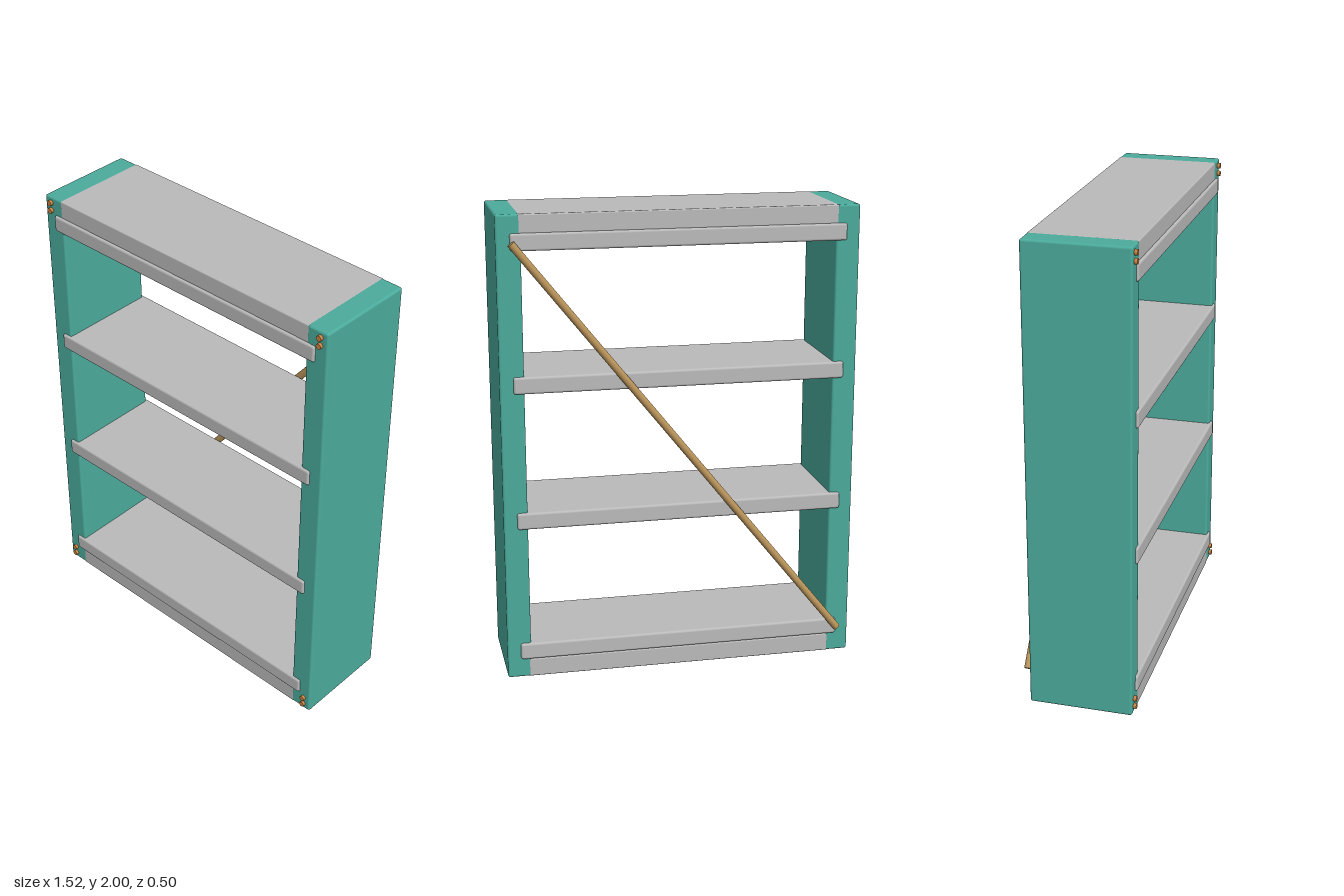
import * as THREE from 'three';
import { RoundedBoxGeometry } from 'three/addons/geometries/RoundedBoxGeometry.js';

const material = (name, color) => {
  const m = new THREE.MeshStandardMaterial({ color });
  m.name = name;
  return m;
};

export function createModel() {
  const group = new THREE.Group();
  const teal = material('teal paint', 0x4bab9c);
  const grey = material('grey board', 0xbababa);
  const wood = material('wooden dowel', 0xba945a);
  const copper = material('copper screw', 0xc98444);

  const add = (name, geometry, mat, x, y, z) => {
    const mesh = new THREE.Mesh(geometry, mat);
    mesh.name = name;
    mesh.position.set(x, y, z);
    group.add(mesh);
    return mesh;
  };

  const frontZ = 0.235, backZ = -0.205;
  const depth = frontZ - backZ, midZ = (frontZ + backZ) / 2;

  // Upright side panels
  const sideGeo = new RoundedBoxGeometry(0.102, 2, depth, 3, 0.01);
  for (const s of [-1, 1]) add(s > 0 ? 'leftSide' : 'rightSide', sideGeo, teal, s * 0.711, 1, midZ);

  // Top and bottom beams, set between the sides
  const beamGeo = new RoundedBoxGeometry(1.342, 0.08, depth, 3, 0.006);
  add('bottomBeam', beamGeo, grey, 0, 0.04, midZ);
  add('topBeam', beamGeo, grey, 0, 1.96, midZ);

  // Shelves, notched through the sides and slightly proud at front and back
  const shelfGeo = new RoundedBoxGeometry(1.41, 0.072, 0.462, 3, 0.01);
  for (const y of [0.12, 0.709, 1.296, 1.887]) add('shelf', shelfGeo, grey, 0, y, 0.014);

  // Diagonal brace across the back
  const start = new THREE.Vector3(-0.703, 0.12, -0.232);
  const end = new THREE.Vector3(0.703, 1.885, -0.232);
  const span = end.clone().sub(start);
  const brace = add('diagonalBrace', new THREE.CylinderGeometry(0.016, 0.016, span.length(), 24), wood, 0, 1.0025, -0.232);
  brace.quaternion.setFromUnitVectors(new THREE.Vector3(0, 1, 0), span.normalize());

  // Pairs of screw heads at the front corners
  const screwGeo = new THREE.CylinderGeometry(0.012, 0.012, 0.02, 20).rotateX(Math.PI / 2);
  for (const x of [-0.727, 0.727])
    for (const y of [0.03, 0.065, 1.938, 1.973]) add('screw', screwGeo, copper, x, y, 0.238);

  return group;
}
